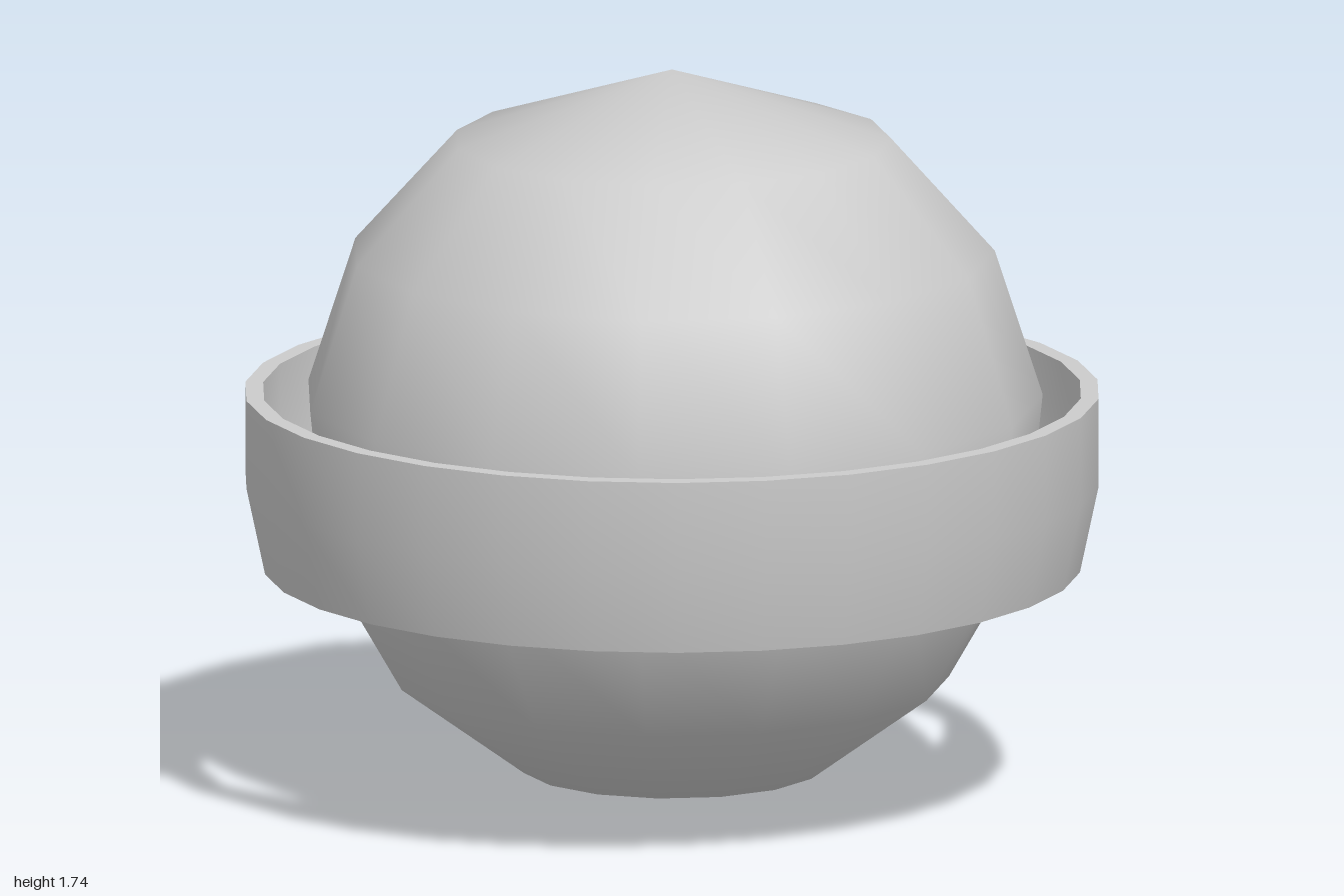
import * as THREE from 'three';
import { mergeGeometries } from 'three/addons/utils/BufferGeometryUtils.js';

const CENTRE = 0.868;

function polar(radius, degrees) {
  const a = THREE.MathUtils.degToRad(degrees);
  return new THREE.Vector2(radius * Math.sin(a), radius * Math.cos(a));
}

export function createModel() {
  const group = new THREE.Group();
  const material = new THREE.MeshStandardMaterial({ color: 0xcccccc });

  // Ball: 15 sides, wide top cap, smooth radial normals
  const rows = [180, 156, 132, 108, 84, 60, 36, 0];
  const ballGeometry = new THREE.LatheGeometry(rows.map((d) => polar(0.868, d)), 15, Math.PI / 2);
  const position = ballGeometry.attributes.position;
  const normal = new THREE.Vector3();
  for (let i = 0; i < position.count; i++) {
    normal.fromBufferAttribute(position, i).normalize();
    ballGeometry.attributes.normal.setXYZ(i, normal.x, normal.y, normal.z);
  }
  const ball = new THREE.Mesh(ballGeometry, material);
  ball.name = 'ball';
  ball.position.y = CENTRE;
  group.add(ball);

  // Ring: thick band, separate strips keep the rims sharp
  const outer = [108, 96, 84].map((d) => polar(1.003, d));
  const inner = [
    new THREE.Vector2(0.956, outer[2].y),
    new THREE.Vector2(0.956, outer[1].y),
    new THREE.Vector2(0.915, outer[0].y + 0.008),
  ];
  const strips = [outer, [outer[2], inner[0]], inner, [inner[2], outer[0]]];
  const ring = new THREE.Mesh(
    mergeGeometries(strips.map((points) => new THREE.LatheGeometry(points, 30))),
    material
  );
  ring.name = 'ring';
  ring.position.y = CENTRE - 0.002;
  group.add(ring);

  return group;
}
